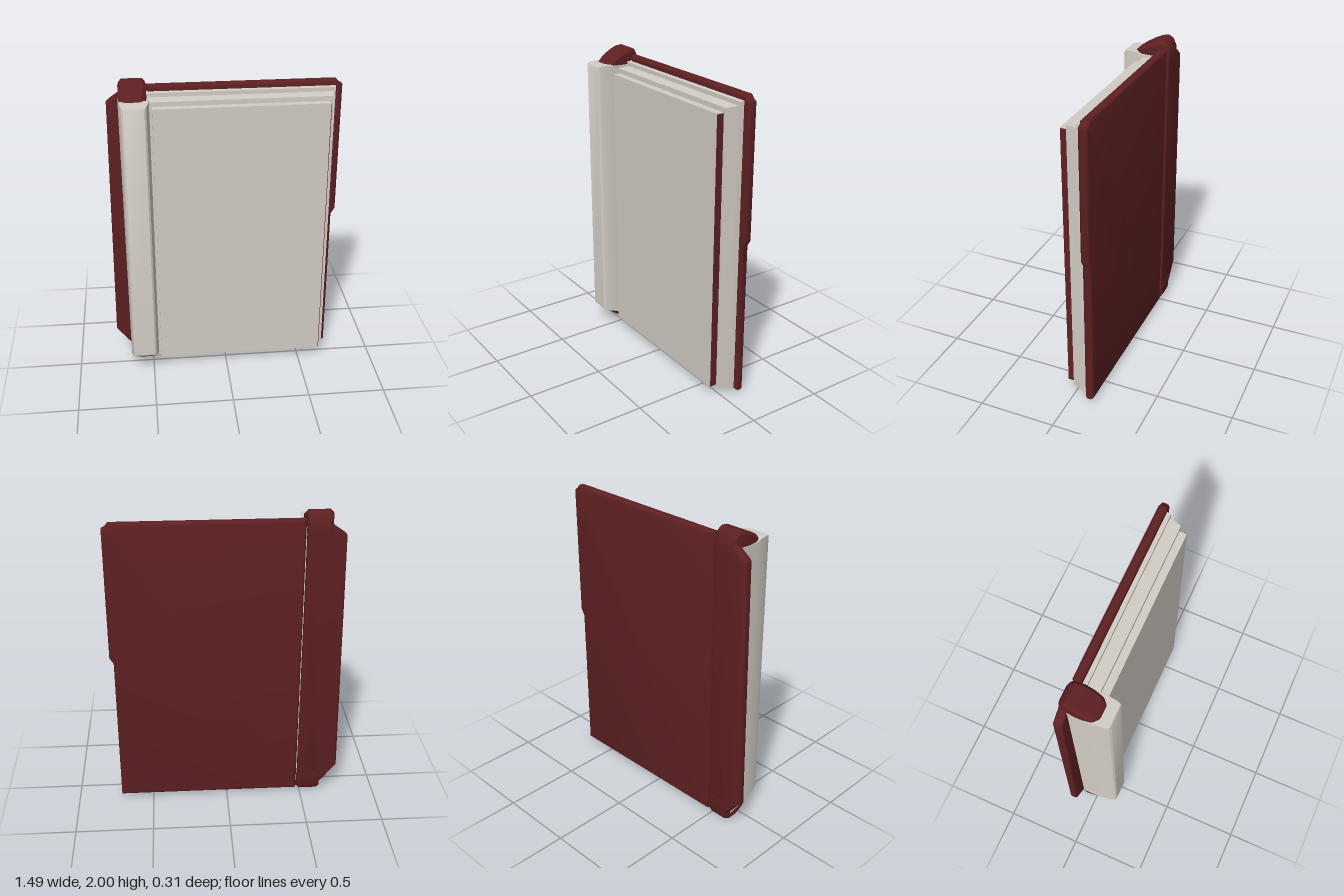
import * as THREE from 'three';
import { toCreasedNormals } from 'three/addons/utils/BufferGeometryUtils.js';

const red = new THREE.MeshStandardMaterial({ color: 0x5e2022 });
red.name = 'dark red cover';
const paper = new THREE.MeshStandardMaterial({ color: 0xd2cdc4 });
paper.name = 'warm grey paper';

// Bevelled plate: outline in x/y, spanning z0 to z1, staying inside the outline
function plate(name, points, z0, z1, bevel, material, segments = 2) {
  const shape = new THREE.Shape(points.map(([x, y]) => new THREE.Vector2(x, y)));
  const geometry = new THREE.ExtrudeGeometry(shape, {
    depth: z1 - z0 - 2 * bevel, bevelEnabled: bevel > 0, bevelSize: bevel,
    bevelThickness: bevel, bevelOffset: -bevel, bevelSegments: segments,
  });
  geometry.translate(0, 0, z0 + bevel);
  const mesh = new THREE.Mesh(toCreasedNormals(geometry, 0.6), material);
  mesh.name = name;
  return mesh;
}

// Solid lofted along z from rectangles {z, x0, x1, y0, y1}
function loft(name, sections, material) {
  const pos = [], index = [];
  for (const { z, x0, x1, y0, y1 } of sections) pos.push(x0, y0, z, x1, y0, z, x1, y1, z, x0, y1, z);
  for (let s = 0; s < sections.length - 1; s++) {
    for (let i = 0; i < 4; i++) {
      const a = s * 4 + i, b = s * 4 + (i + 1) % 4;
      index.push(a, b, b + 4, a, b + 4, a + 4);
    }
  }
  const e = (sections.length - 1) * 4;
  index.push(0, 2, 1, 0, 3, 2, e, e + 1, e + 2, e, e + 2, e + 3);
  const geometry = new THREE.BufferGeometry();
  geometry.setAttribute('position', new THREE.Float32BufferAttribute(pos, 3));
  geometry.setIndex(index);
  const mesh = new THREE.Mesh(toCreasedNormals(geometry, 0.5), material);
  mesh.name = name;
  return mesh;
}

// Rounded end cap of the spine; outline in z/y runs across x and narrows outward
function spineCap(name, top) {
  const sections = [ // z, half width, outer height above the base
    [-0.155, 0.06, 0.045], [-0.135, 0.075, 0.075], [-0.105, 0.08, 0.09], [-0.06, 0.085, 0.082],
    [-0.01, 0.085, 0.058], [0.04, 0.078, 0.03], [0.075, 0.062, 0.006], [0.09, 0.042, -0.008],
  ];
  const pos = [], index = [];
  const n = 6;
  for (const [z, w, h] of sections) {
    const y = top ? 1.91 + h : 0.09 - h;
    const low = top ? 1.86 : 0.16;
    const ring = [[-w, low], [w, low], [w, y - (top ? 0.02 : -0.02)], [w - 0.018, y], [-w + 0.018, y], [-w, y - (top ? 0.02 : -0.02)]];
    for (const [x, v] of ring) pos.push(x - 0.56, v, z);
  }
  const tri = (a, b, c) => (top ? index.push(a, b, c) : index.push(a, c, b));
  for (let s = 0; s < sections.length - 1; s++) {
    for (let i = 0; i < n; i++) {
      const a = s * n + i, b = s * n + (i + 1) % n;
      tri(a, b, b + n);
      tri(a, b + n, a + n);
    }
  }
  const e = (sections.length - 1) * n;
  for (let i = 1; i < n - 1; i++) {
    tri(0, i + 1, i);
    tri(e, e + i, e + i + 1);
  }
  const geometry = new THREE.BufferGeometry();
  geometry.setAttribute('position', new THREE.Float32BufferAttribute(pos, 3));
  geometry.setIndex(index);
  const mesh = new THREE.Mesh(toCreasedNormals(geometry, 0.6), red);
  mesh.name = name;
  return mesh;
}

export function createModel() {
  const group = new THREE.Group();
  group.name = 'book';

  // Back cover with its stepped outer edge
  group.add(plate('backCover', [
    [-0.475, 0.02], [0.715, 0.02], [0.715, 1.025], [0.74, 1.065], [0.74, 1.92],
    [0.715, 1.935], [0.7, 1.955], [-0.475, 1.955],
  ], -0.147, -0.088, 0.02, red, 3));

  // Page block in three steps
  group.add(loft('lowerPages', [
    { z: -0.1, x0: -0.48, x1: 0.695, y0: 0.035, y1: 1.92 },
    { z: -0.062, x0: -0.48, x1: 0.69, y0: 0.035, y1: 1.915 },
  ], paper));
  group.add(loft('middlePages', [
    { z: -0.07, x0: -0.48, x1: 0.68, y0: 0.05, y1: 1.89 },
    { z: 0.015, x0: -0.48, x1: 0.66, y0: 0.052, y1: 1.885 },
  ], paper));
  group.add(loft('upperPages', [
    { z: 0.005, x0: -0.445, x1: 0.64, y0: 0.066, y1: 1.855 },
    { z: 0.062, x0: -0.445, x1: 0.64, y0: 0.066, y1: 1.855 },
  ], paper));

  // Red edge band on the upper pages
  const band = new THREE.Mesh(new THREE.BoxGeometry(0.006, 1.78, 0.044), red);
  band.name = 'pageEdgeBand';
  band.position.set(0.641, 0.96, 0.038);
  group.add(band);

  // Pale spine pillar, tapered forward and slanted at the foot
  group.add(loft('spinePillar', [
    { z: -0.11, x0: -0.645, x1: -0.465, y0: 0.06, y1: 1.9 },
    { z: 0.03, x0: -0.648, x1: -0.462, y0: 0.09, y1: 1.9 },
    { z: 0.06, x0: -0.646, x1: -0.463, y0: 0.105, y1: 1.91 },
    { z: 0.125, x0: -0.638, x1: -0.472, y0: 0.13, y1: 1.91 },
    { z: 0.146, x0: -0.63, x1: -0.48, y0: 0.138, y1: 1.907 },
    { z: 0.155, x0: -0.618, x1: -0.492, y0: 0.15, y1: 1.89 },
  ], paper));

  // Flap wrapping behind the spine to the outer edge
  group.add(plate('spineFlap', [
    [-0.482, 0.04], [-0.6, 0.04], [-0.655, 0.09], [-0.745, 0.205], [-0.722, 1.85],
    [-0.705, 1.868], [-0.645, 1.91], [-0.62, 1.95], [-0.482, 1.95],
  ].reverse(), -0.153, -0.095, 0.02, red, 3));

  // Caps at both ends of the spine
  group.add(spineCap('topSpineCap', true));
  group.add(spineCap('bottomSpineCap', false));

  return group;
}
